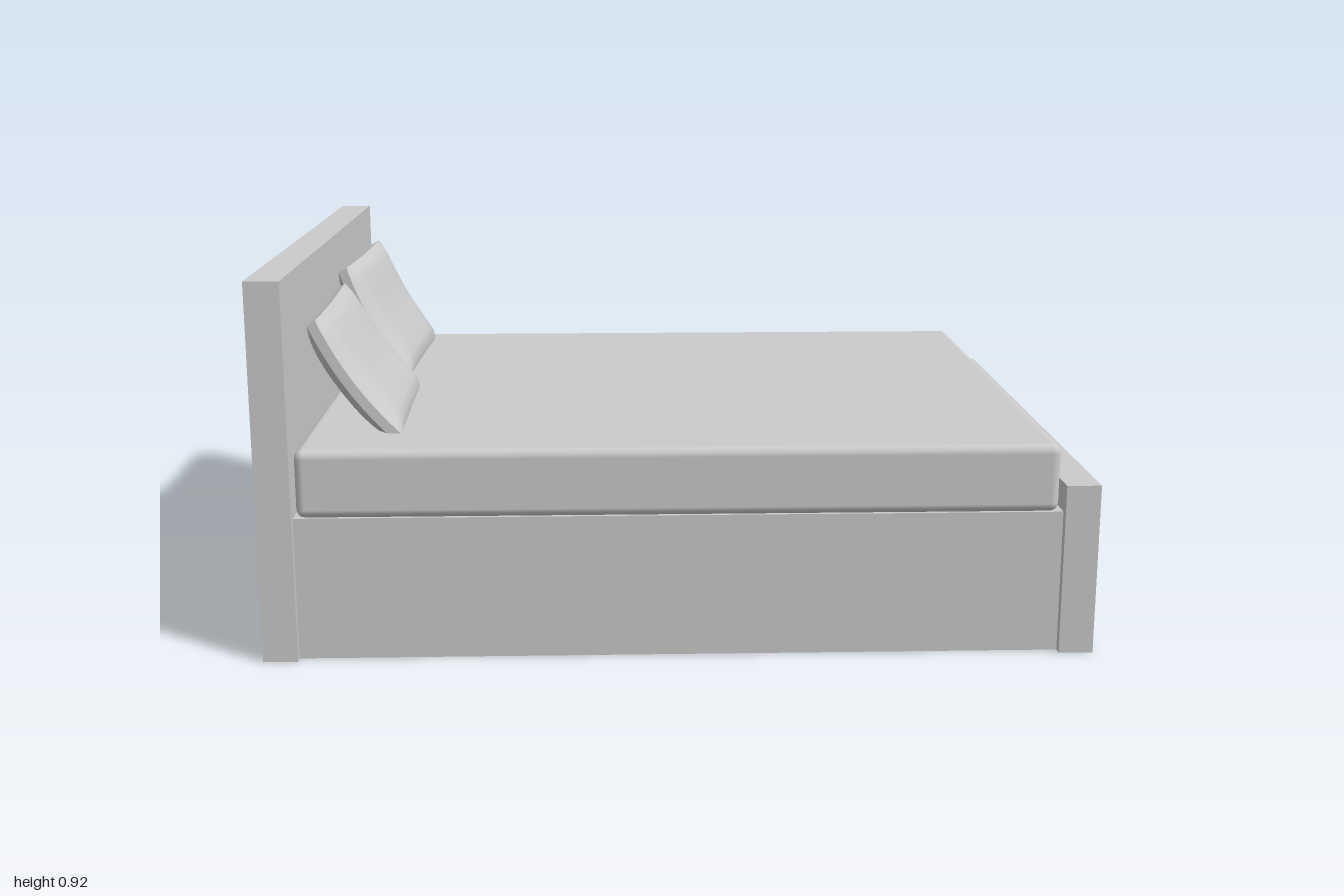
import * as THREE from 'three';
import { RoundedBoxGeometry } from 'three/addons/geometries/RoundedBoxGeometry.js';

const material = new THREE.MeshStandardMaterial({ color: 0xcccccc });

function addPart(parent, name, geometry, x, y, z) {
  const mesh = new THREE.Mesh(geometry, material);
  mesh.name = name;
  mesh.position.set(x, y, z);
  parent.add(mesh);
  return mesh;
}

// Box given by its lower and upper limits along x and y, and its half depth
function addBoard(parent, name, x0, x1, height, halfDepth) {
  const geometry = new THREE.BoxGeometry(x1 - x0, height, halfDepth * 2);
  return addPart(parent, name, geometry, (x0 + x1) / 2, height / 2, 0);
}

// Stuffed cushion: thin rim, swollen middle, sagging slightly along its height
function pillowGeometry(length, width) {
  const rim = 0.012, swell = 0.03, sag = 0.018;
  const geometry = new THREE.BoxGeometry(2, 2, 2, 2, 16, 20);
  const p = geometry.attributes.position;
  for (let i = 0; i < p.count; i++) {
    const side = p.getX(i), v = p.getY(i), w = p.getZ(i);
    const puff = Math.sqrt(Math.max(0, (1 - v ** 4) * (1 - w ** 6)));
    const x = side * (rim + swell * puff) + sag * (v * v - 0.4);
    // edges bow inward a little between the corners
    const y = v * (length / 2) * (1 - 0.02 * (1 - w * w));
    const z = w * (width / 2) * (1 - 0.015 * (1 - v * v));
    p.setXYZ(i, x, y, z);
  }
  geometry.computeVertexNormals();
  return geometry;
}

export function createModel() {
  const bed = new THREE.Group();
  bed.name = 'bed';

  // Frame
  addBoard(bed, 'headboard', -1, -0.917, 0.92, 0.757);
  addBoard(bed, 'footboard', 0.917, 1, 0.42, 0.757);
  addBoard(bed, 'base', -0.917, 0.917, 0.35, 0.735);

  // Mattress
  addPart(bed, 'mattress', new RoundedBoxGeometry(1.815, 0.167, 1.49, 2, 0.022), -0.002, 0.4335, 0);

  // Pillows leaning on the headboard
  const left = addPart(bed, 'frontPillow', pillowGeometry(0.345, 0.57), -0.797, 0.643, 0.297);
  left.rotation.set(0, 0.025, 0.61);
  const right = addPart(bed, 'rearPillow', pillowGeometry(0.345, 0.57), -0.818, 0.667, -0.338);
  right.rotation.set(0, -0.025, 0.51);

  return bed;
}
